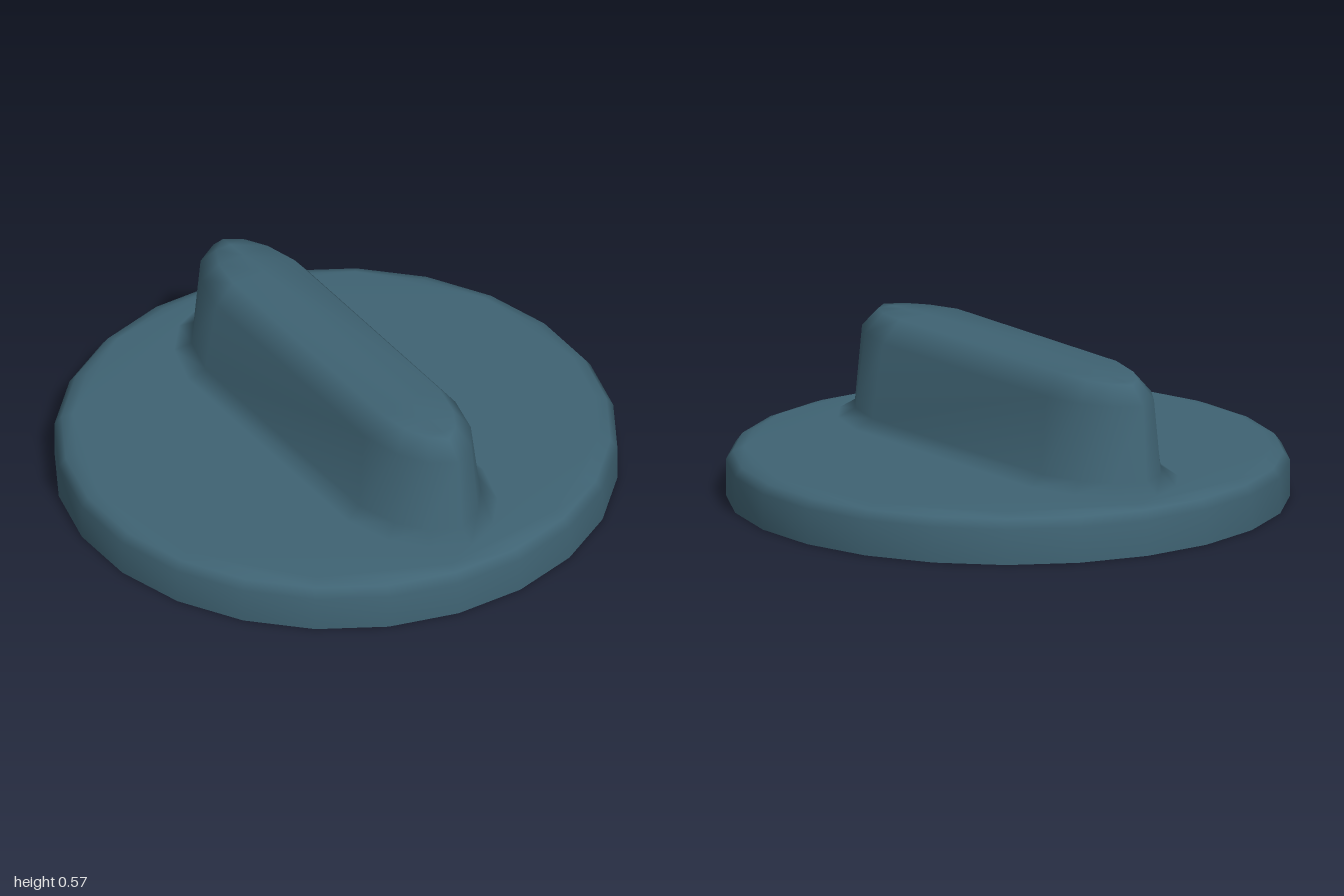
import * as THREE from 'three';
import { mergeGeometries, mergeVertices } from 'three/addons/utils/BufferGeometryUtils.js';

const SIDES = 24;
const HALF_STEP = Math.PI / SIDES;
const RADIUS = 1 / Math.cos(HALF_STEP); // puts the outer edge vertices on x, z = 1
const PLATE_Y = 0.178;

// Boat-shaped outline: straight sides, tapering to a tip at each end.
// w half width, shoulder where the taper starts, tip half length, y height, tipY height at the tip
function gripRing({ w, shoulder, tip, y, tipY = y }) {
  const taper = [[1, 0], [0.8, 0.5], [0.47, 0.82], [0, 1], [-0.47, 0.82], [-0.8, 0.5], [-1, 0]];
  const half = taper.map(([u, t]) => new THREE.Vector3(
    u * w, y + (tipY - y) * t, shoulder + (tip - shoulder) * t));
  return [...half, ...half.map((p) => new THREE.Vector3(-p.x, p.y, -p.z))];
}

// Skin a stack of equal-sized rings, bottom to top
function loft(rings) {
  const n = rings[0].length;
  const index = [];
  for (let r = 0; r < rings.length - 1; r++) {
    for (let i = 0; i < n; i++) {
      const a = r * n + i;
      const b = r * n + (i + 1) % n;
      index.push(a, a + n, b, b, a + n, b + n);
    }
  }
  const geometry = new THREE.BufferGeometry().setFromPoints(rings.flat());
  geometry.setIndex(index);
  return geometry;
}

// Weld and smooth; the seam between plate and grip gets upright normals
function smooth(geometry, seam) {
  geometry.deleteAttribute('uv');
  geometry.deleteAttribute('normal');
  const welded = mergeVertices(geometry, 1e-4);
  welded.computeVertexNormals();
  const { position, normal } = welded.attributes;
  for (let i = 0; i < position.count; i++) {
    const onSeam = seam.some((p) => Math.hypot(
      p.x - position.getX(i), p.y - position.getY(i), p.z - position.getZ(i)) < 1e-3);
    if (onSeam) normal.setXYZ(i, 0, 1, 0);
  }
  return welded;
}

export function createModel() {
  const group = new THREE.Group();
  group.name = 'dial';
  const material = new THREE.MeshStandardMaterial({ color: 0x3f6373, side: THREE.DoubleSide });

  const rings = [
    { w: 0.29, shoulder: 0.52, tip: 0.88, y: PLATE_Y },
    { w: 0.23, shoulder: 0.5, tip: 0.82, y: 0.215 },
    { w: 0.195, shoulder: 0.48, tip: 0.8, y: 0.49 },
    { w: 0.13, shoulder: 0.47, tip: 0.735, y: 0.57, tipY: 0.555 },
    { w: 0, shoulder: 0.47, tip: 0.735, y: 0.57, tipY: 0.555 }, // centre line closes the top
  ].map(gripRing);
  const seam = rings[0];

  // Rounded rim, open underneath
  const profile = [[1, 0], [1, 0.13], [0.975, 0.163], [0.935, PLATE_Y]]
    .map(([r, y]) => new THREE.Vector2(r * RADIUS, y));
  const rim = new THREE.LatheGeometry(profile, SIDES, HALF_STEP);

  // Flat plate with an opening below the hollow grip
  const inner = profile[profile.length - 1].x;
  const outline = Array.from({ length: SIDES }, (_, i) => {
    const angle = HALF_STEP * (2 * i + 1);
    return new THREE.Vector2(inner * Math.sin(angle), -inner * Math.cos(angle));
  });
  const shape = new THREE.Shape(outline);
  shape.holes.push(new THREE.Path(seam.map((p) => new THREE.Vector2(p.x, -p.z))));
  const plate = new THREE.ShapeGeometry(shape).rotateX(-Math.PI / 2).translate(0, PLATE_Y, 0);

  const base = new THREE.Mesh(smooth(mergeGeometries([rim, plate]), seam), material);
  base.name = 'basePlate';

  // Raised hollow grip with a flared foot
  const grip = new THREE.Mesh(smooth(loft(rings), seam), material);
  grip.name = 'grip';

  group.add(base, grip);
  return group;
}
